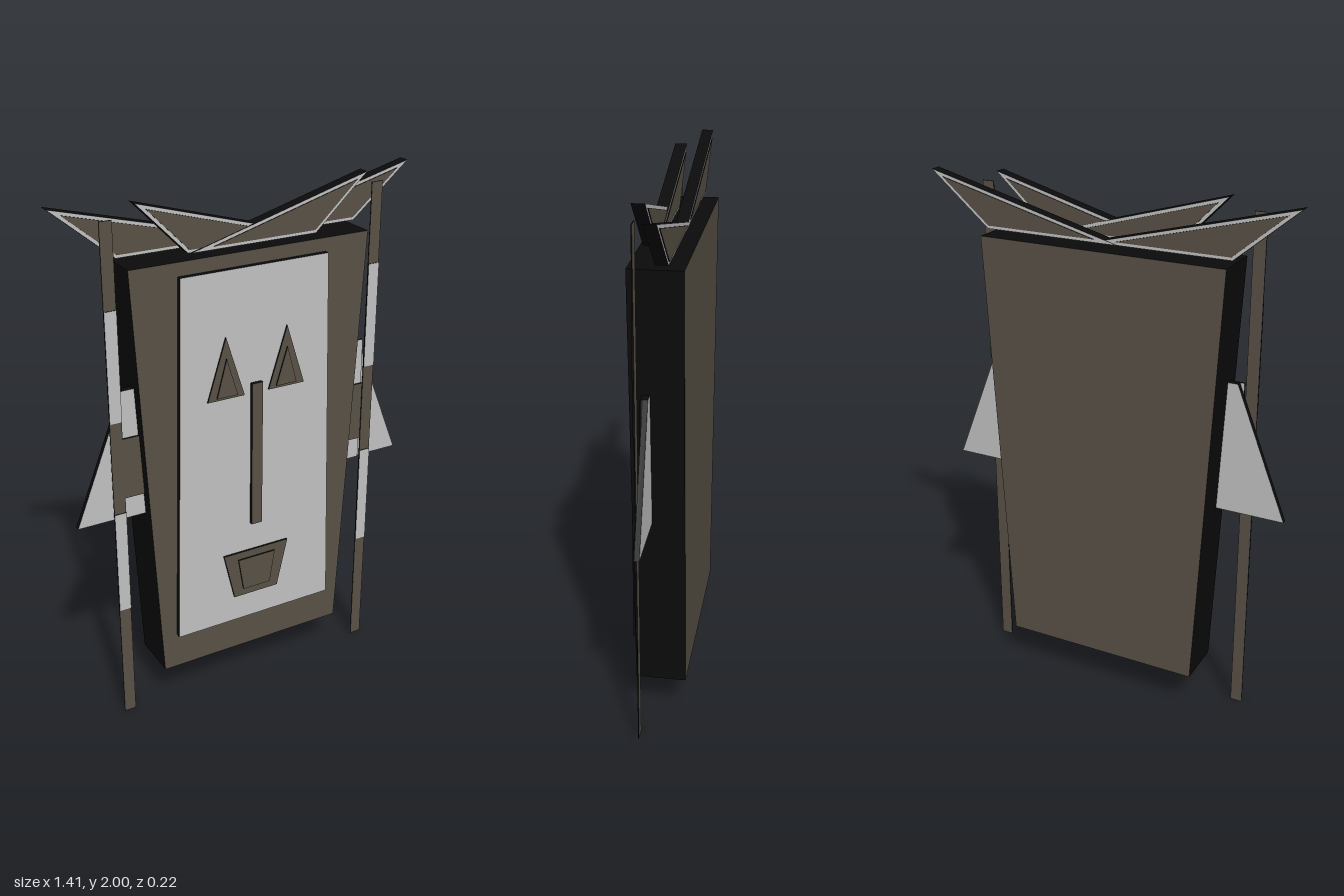
import * as THREE from 'three';

const flat = (name, color) => {
  const m = new THREE.MeshStandardMaterial({ color });
  m.name = name;
  return m;
};

export function createModel() {
  const brown = flat('brown', 0x585146);
  const grey = flat('lightGrey', 0xc2c2c2);
  const black = flat('blackEdge', 0x0b0b0b);
  const model = new THREE.Group();

  // Flat slab from an outline, with coloured faces and black edges
  const slab = (name, pts, z0, z1, mat, parent = model) => {
    const shape = new THREE.Shape(pts.map(([x, y]) => new THREE.Vector2(x, y)));
    const geo = new THREE.ExtrudeGeometry(shape, { depth: z1 - z0, bevelEnabled: false });
    geo.translate(0, 0, z0);
    const mesh = new THREE.Mesh(geo, [mat, black]);
    mesh.name = name;
    parent.add(mesh);
    return mesh;
  };
  const trapezoid = (bottom, top, y0, y1) => [[-bottom, y0], [bottom, y0], [top, y1], [-top, y1]];
  const rect = (x0, x1, y0, y1) => [[x0, y0], [x1, y0], [x1, y1], [x0, y1]];
  const mirror = (pts, s) => pts.map(([x, y]) => [x * s, y]);

  // Triangle shrunk towards its incentre, leaving an even border
  const inset = (pts, k) => {
    const len = pts.map((_, i) => {
      const a = pts[(i + 1) % 3], b = pts[(i + 2) % 3];
      return Math.hypot(a[0] - b[0], a[1] - b[1]);
    });
    const sum = len[0] + len[1] + len[2];
    const c = [0, 1].map(j => pts.reduce((t, p, i) => t + p[j] * len[i], 0) / sum);
    return pts.map(p => [c[0] + (p[0] - c[0]) * k, c[1] + (p[1] - c[1]) * k]);
  };

  // Head and face
  slab('headBlock', trapezoid(0.39, 0.475, 0.16, 1.79), -0.112, 0.076, brown);
  slab('facePlate', trapezoid(0.335, 0.295, 0.305, 1.74), 0.076, 0.096, grey);
  slab('nose', rect(-0.023, 0.021, 0.725, 1.305), 0.096, 0.11, brown);
  slab('mouth', trapezoid(0.095, 0.14, 0.415, 0.61), 0.096, 0.104, brown);
  slab('innerMouth', trapezoid(0.058, 0.08, 0.445, 0.58), 0.104, 0.11, brown);

  for (const s of [1, -1]) {
    const side = s > 0 ? 'left' : 'right';
    const eye = [[0.05, 1.265], [0.2, 1.265], [0.125, 1.5]];
    const innerEye = [[0.08, 1.275], [0.165, 1.275], [0.125, 1.42]];
    slab(side + 'Eye', mirror(eye, s), 0.096, 0.102, brown);
    slab(side + 'InnerEye', mirror(innerEye, s), 0.102, 0.107, brown);

    // Ear with its stacked plates
    const ear = new THREE.Group();
    ear.name = side + 'Ear';
    model.add(ear);
    slab('earFlap', mirror([[0.4, 0.85], [0.688, 0.85], [0.49, 1.35], [0.4, 1.35]], s), 0.005, 0.024, grey, ear);
    slab('earPlate', mirror(rect(0.4, 0.507, 0.85, 1.35), s), 0.024, 0.032, grey, ear);
    slab('earBand', mirror(rect(0.4, 0.512, 0.935, 1.17), s), 0.032, 0.039, brown, ear);

    // Side pole with light bands on its front
    const pole = new THREE.Group();
    pole.name = side + 'Pole';
    model.add(pole);
    slab('poleStrip', mirror(rect(0.508, 0.554, 0, 1.955), s), 0.039, 0.043, brown, pole);
    for (const y of [0.47, 1.24])
      slab('poleBand', mirror(rect(0.508, 0.554, y, y + 0.41), s), 0.043, 0.046, grey, pole);
  }

  // Crest feathers: grey triangles with brown panels on both faces
  const feather = (name, pts, z0, z1) => {
    const g = new THREE.Group();
    g.name = name;
    model.add(g);
    slab('featherBody', pts, z0, z1, grey, g);
    const panel = inset(pts, 0.82);
    slab('featherFrontPanel', panel, z1, z1 + 0.003, brown, g);
    slab('featherBackPanel', panel, z0 - 0.003, z0, brown, g);
  };
  const wide = [[-0.05, 1.806], [0.475, 1.806], [0.706, 2]];
  const narrow = [[-0.23, 1.806], [0.265, 1.806], [0.475, 2]];
  const narrowRight = [[0.25, 1.806], [-0.24, 1.806], [-0.43, 2]];
  feather('backLeftFeather', wide, -0.062, -0.019);
  feather('backRightFeather', mirror(wide, -1), -0.06, -0.017);
  feather('frontRightFeather', narrowRight, 0.006, 0.05);
  feather('frontLeftFeather', narrow, 0.011, 0.056);

  return model;
}
